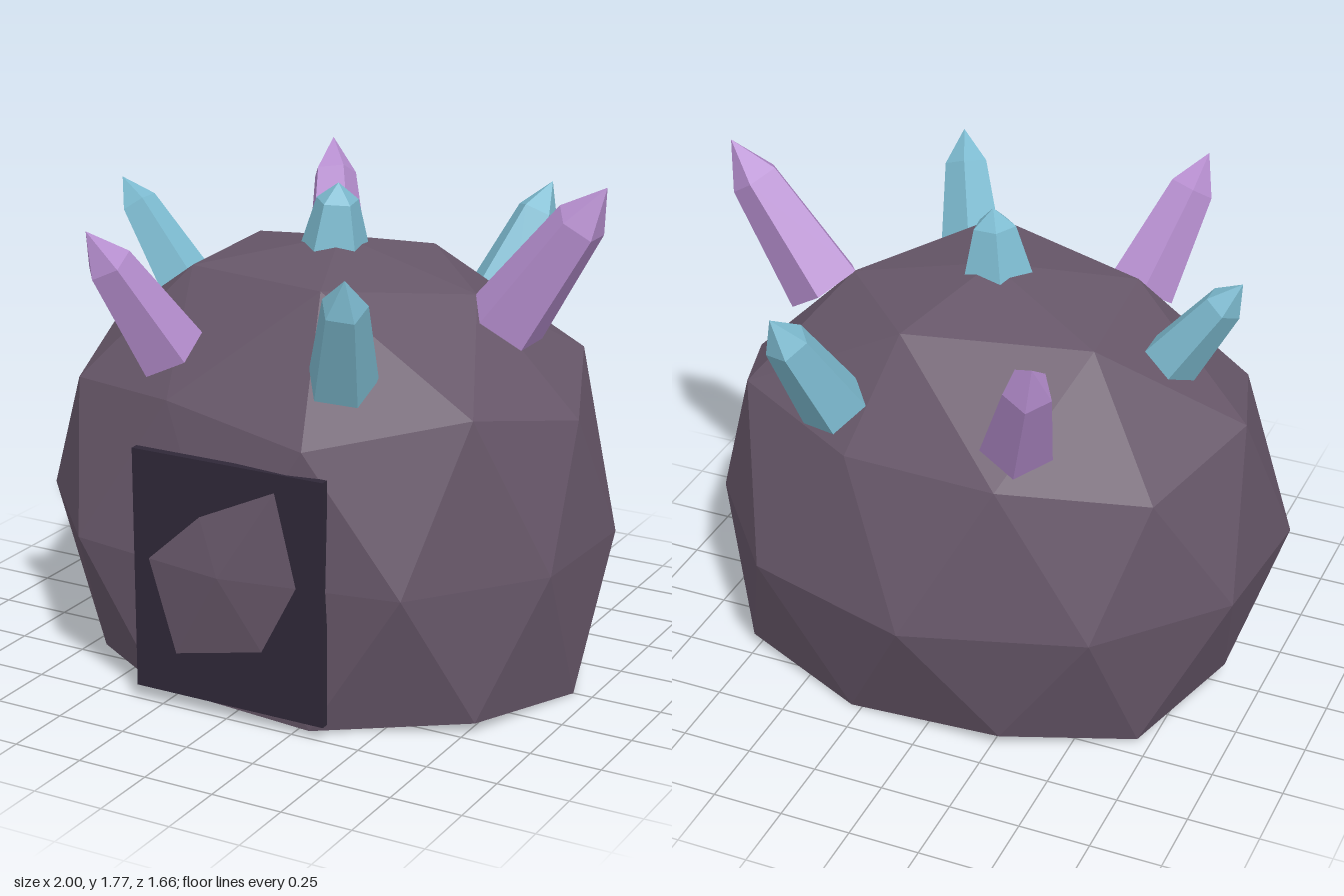
import * as THREE from 'three';

const material = (color) => new THREE.MeshStandardMaterial({ color, flatShading: true, roughness: 0.9 });

// Faceted boulder built from rings: pole, crown, shoulder, waist, foot and flat underside
function boulderGeometry() {
  const pole = [[0.02, 1.5, 0]];
  const crown = [[0.54, 1.36, 0], [0.19, 1.43, 0.44], [-0.41, 1.4, 0.26], [-0.45, 1.4, -0.26], [0.18, 1.4, -0.4]];
  const shoulder = [
    [0.92, 0.98, 0], [0.75, 1.08, 0.45], [0.28, 0.98, 0.73], [-0.27, 1.05, 0.66], [-0.76, 1.0, 0.45],
    [-0.9, 1.08, 0], [-0.73, 0.97, -0.43], [-0.27, 1.05, -0.67], [0.28, 1.04, -0.64], [0.75, 1.1, -0.42],
  ];
  const waist = [
    [0.95, 0.26], [0.62, 0.69], [0, 0.8], [-0.61, 0.7], [-1, 0.27],
    [-0.96, -0.24], [-0.6, -0.65], [0.01, -0.84], [0.62, -0.66], [0.965, -0.24],
  ].map(([x, z]) => [x, 0.52, z]);
  const foot = [
    [0.93, 0, 0], [0.78, 0.04, 0.46], [0.29, 0, 0.7], [-0.28, 0.05, 0.73], [-0.7, 0, 0.42],
    [-0.87, 0.08, 0], [-0.7, 0, -0.42], [-0.28, 0.05, -0.65], [0.29, 0, -0.63], [0.77, 0.04, -0.44],
  ];
  const sole = [0, 1, 2, 3, 4].map((k) => {
    const a = Math.PI / 5 + (k * Math.PI * 2) / 5;
    return [0.52 * Math.cos(a), 0, 0.43 * Math.sin(a)];
  });

  const positions = [];
  const tri = (a, b, c) => positions.push(...a, ...b, ...c);
  const at = (ring, i) => ring[(i + ring.length) % ring.length];

  for (let k = 0; k < 5; k++) {
    const a = crown[k], b = at(crown, k + 1);
    const s0 = shoulder[2 * k], s1 = shoulder[2 * k + 1], s2 = at(shoulder, 2 * k + 2);
    tri(pole[0], b, a);
    tri(a, s1, s0);
    tri(a, b, s1);
    tri(b, s2, s1);
    // underside
    const p = sole[k], q = at(sole, k + 1);
    const f1 = foot[2 * k + 1], f2 = at(foot, 2 * k + 2), f3 = at(foot, 2 * k + 3);
    tri([0, 0, 0], p, q);
    tri(p, f1, f2);
    tri(p, f2, q);
    tri(q, f2, f3);
  }
  for (let j = 0; j < 10; j++) {
    const w0 = at(waist, j - 1), w1 = waist[j];
    tri(shoulder[j], w1, w0);
    tri(shoulder[j], at(shoulder, j + 1), w1);
    tri(foot[j], w0, w1);
    tri(foot[j], w1, at(foot, j + 1));
  }
  const geometry = new THREE.BufferGeometry();
  geometry.setAttribute('position', new THREE.Float32BufferAttribute(positions, 3));
  geometry.computeVertexNormals();
  return geometry;
}

// Five-sided tapering crystal running from a base point to its tip
function crystal(name, mat, base, tip, radius, shoulderRatio = 0.65, twist = 0) {
  const from = new THREE.Vector3(...base);
  const axis = new THREE.Vector3(...tip).sub(from);
  const length = axis.length();
  const profile = [[0, 0], [radius, 0], [radius * shoulderRatio, length * 0.74], [0, length]]
    .map(([r, y]) => new THREE.Vector2(r, y));
  const geometry = new THREE.LatheGeometry(profile, 5);
  geometry.rotateY(-Math.PI / 2 + twist);
  const mesh = new THREE.Mesh(geometry, mat);
  mesh.name = name;
  mesh.position.copy(from);
  mesh.quaternion.setFromUnitVectors(new THREE.Vector3(0, 1, 0), axis.normalize());
  return mesh;
}

export function createModel() {
  const group = new THREE.Group();
  group.name = 'crystalBoulder';
  const stone = material(0x675769);
  const dark = material(0x2f2838);
  const purple = material(0xb78fd0);
  const teal = material(0x7dbbd0);

  const boulder = new THREE.Mesh(boulderGeometry(), stone);
  boulder.name = 'boulder';
  group.add(boulder);

  // Doorway panel, with the bulge of the stone poking through
  const door = new THREE.Mesh(new THREE.BoxGeometry(0.72, 0.85, 0.03), dark);
  door.name = 'doorway';
  door.position.set(0.01, 0.475, 0.737);
  group.add(door);

  // Crystals on the crown and the two sides
  group.add(
    crystal('topCrystal', teal, [0.01, 1.45, 0.02], [0.03, 1.69, 0.03], 0.125, 0.6, 0.17),
    crystal('leftCrystal', purple, [0.65, 1.28, 0], [0.995, 1.775, 0], 0.14),
    crystal('rightCrystal', teal, [-0.62, 1.265, 0], [-0.86, 1.605, 0], 0.105),
  );
  // Mirrored front and back crystals
  for (const [side, s] of [['front', 1], ['back', -1]]) {
    group.add(
      crystal(side + 'RightCrystal', purple, [-0.31, 1.19, 0.57 * s], [-0.46, 1.635, 0.82 * s], 0.125),
      crystal(side + 'LeftCrystal', teal, [0.34, 1.18, 0.57 * s], [0.46, 1.58, 0.77 * s], 0.12),
    );
  }
  return group;
}
